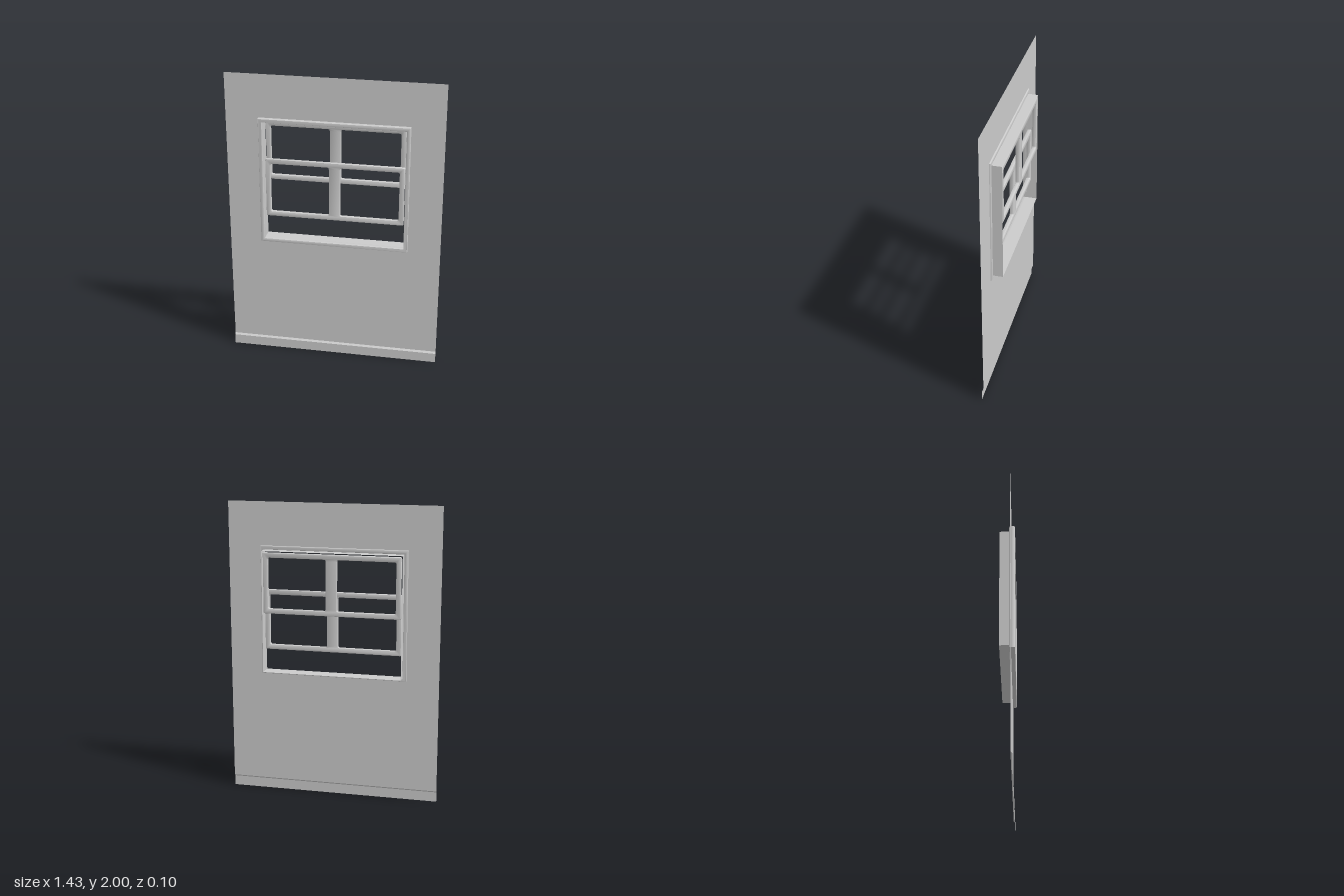
import * as THREE from 'three';
import { toCreasedNormals } from 'three/addons/utils/BufferGeometryUtils.js';

const solid = new THREE.MeshStandardMaterial({ color: 0xcccccc });
const sheet = new THREE.MeshStandardMaterial({ color: 0xcccccc, side: THREE.DoubleSide });

const WALL_Z = 0.023;
const OPENING = { x0: -0.469, x1: 0.469, y0: 0.861, y1: 1.683 };

// Rectangle with optional rounded corners
function rect(path, { x0, x1, y0, y1 }, r = 0) {
  if (!r) {
    path.moveTo(x0, y0).lineTo(x1, y0).lineTo(x1, y1).lineTo(x0, y1).closePath();
    return path;
  }
  path.moveTo(x0 + r, y0);
  path.lineTo(x1 - r, y0).quadraticCurveTo(x1, y0, x1, y0 + r);
  path.lineTo(x1, y1 - r).quadraticCurveTo(x1, y1, x1 - r, y1);
  path.lineTo(x0 + r, y1).quadraticCurveTo(x0, y1, x0, y1 - r);
  path.lineTo(x0, y0 + r).quadraticCurveTo(x0, y0, x0 + r, y0);
  return path;
}

// Bevelled slab with holes, between zBack and zFront
function frame(name, outer, holes, zBack, zFront, bevel, outerR, holeR) {
  const shape = rect(new THREE.Shape(), outer, outerR);
  for (const h of holes) shape.holes.push(rect(new THREE.Path(), h, holeR));
  const geo = new THREE.ExtrudeGeometry(shape, {
    depth: zFront - zBack - 2 * bevel,
    bevelSize: bevel, bevelThickness: bevel, bevelOffset: -bevel,
    bevelSegments: 2, curveSegments: 4,
  });
  geo.translate(0, 0, zBack + bevel);
  const mesh = new THREE.Mesh(toCreasedNormals(geo, 0.6), solid);
  mesh.name = name;
  return mesh;
}

// Two-pane sash, standing with its lower edge at y
function sash(name, y, zBack, zFront) {
  const height = 0.407, rail = 0.033;
  const panes = [-1, 1].map((s) => ({
    x0: s < 0 ? -0.428 : 0.037, x1: s < 0 ? -0.037 : 0.428,
    y0: y + rail, y1: y + height - rail,
  }));
  return frame(name, { x0: -0.461, x1: 0.461, y0: y, y1: y + height }, panes,
    zBack, zFront, 0.006, 0.008, 0.012);
}

export function createModel() {
  const model = new THREE.Group();
  const add = (name, geo) => {
    const mesh = new THREE.Mesh(geo, sheet);
    mesh.name = name;
    model.add(mesh);
  };

  // Thin wall sheet with the window opening
  const wall = rect(new THREE.Shape(), { x0: -0.713, x1: 0.713, y0: 0.078, y1: 2 });
  wall.holes.push(rect(new THREE.Path(), OPENING));
  add('wall', new THREE.ShapeGeometry(wall).translate(0, 0, WALL_Z));

  // Baseboard sheet: sloped top edge, then a flat face in front of the wall
  const board = new THREE.PlaneGeometry(1.426, 1, 1, 2);
  const profile = [[0.078, WALL_Z], [0.067, 0.034], [0, 0.034]];
  for (let i = 0; i < board.attributes.position.count; i++) {
    const [y, z] = profile[Math.floor(i / 2)];
    board.attributes.position.setY(i, y).setZ(i, z);
  }
  const boardFlat = board.toNonIndexed();
  boardFlat.computeVertexNormals();
  add('baseboard', boardFlat);

  // Open four-sided liner running back from the casing
  const { x0, x1, y0, y1 } = OPENING;
  const zBack = -0.051, zFront = 0.03;
  const liner = new THREE.CylinderGeometry(Math.SQRT1_2, Math.SQRT1_2, 1, 4, 1, true, Math.PI / 4)
    .rotateX(Math.PI / 2)
    .scale(x1 - x0, y1 - y0, zFront - zBack)
    .translate(0, (y0 + y1) / 2, (zFront + zBack) / 2)
    .toNonIndexed();
  liner.computeVertexNormals();
  add('windowLiner', liner);

  // Casing around the opening
  model.add(frame('casing', { x0: -0.495, x1: 0.495, y0: 0.836, y1: 1.709 }, [OPENING],
    0.013, 0.051, 0.007, 0, 0));

  // Upper sash at the back, lower sash raised a little in front of it
  model.add(sash('upperSash', 1.266, -0.05, -0.022));
  model.add(sash('lowerSash', 1.014, -0.012, 0.016));

  return model;
}
